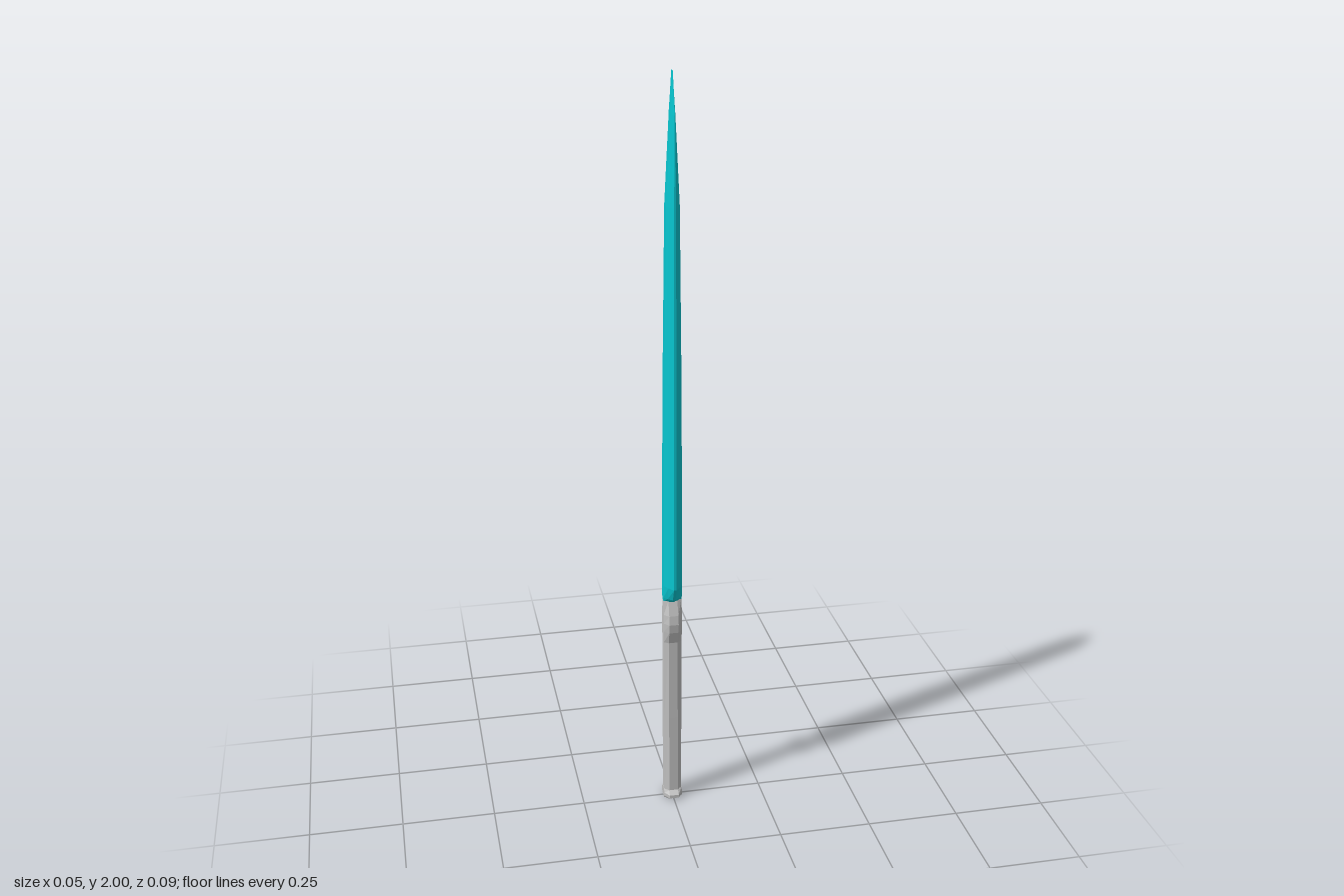
import * as THREE from 'three';

// Skins a closed cross-section through levels of [y, halfX, halfZ], with end caps.
function loft(section, levels) {
  const n = section.length;
  const pos = [], idx = [];
  for (const [y, a, b] of levels) {
    for (const [u, w] of section) pos.push(u * a, y, w * b);
  }
  for (let i = 0; i < levels.length - 1; i++) {
    for (let j = 0; j < n; j++) {
      const p = i * n + j, q = i * n + (j + 1) % n;
      idx.push(p, p + n, q, q, p + n, q + n);
    }
  }
  const last = (levels.length - 1) * n;
  for (let j = 1; j < n - 1; j++) {
    idx.push(0, j, j + 1);
    idx.push(last, last + j + 1, last + j);
  }
  const geo = new THREE.BufferGeometry();
  geo.setAttribute('position', new THREE.Float32BufferAttribute(pos, 3));
  geo.setIndex(idx);
  const flat = geo.toNonIndexed();
  flat.computeVertexNormals();
  return flat;
}

// Mirrors a quarter outline, listed from +x towards +z, into a full loop.
function mirrorSection(quarter) {
  const half = [...quarter, ...[...quarter].reverse().map(([u, w]) => [-u, w])];
  return [...half, ...half.map(([u, w]) => [-u, -w])];
}

export function createModel() {
  const teal = new THREE.MeshStandardMaterial({ color: 0x08c6d0, flatShading: true });
  teal.name = 'teal blade';
  const grey = new THREE.MeshStandardMaterial({ color: 0xc2c2c2, flatShading: true });
  grey.name = 'grey metal';

  const group = new THREE.Group();
  group.name = 'sword';
  const add = (name, geometry, material) => {
    const mesh = new THREE.Mesh(geometry, material);
    mesh.name = name;
    group.add(mesh);
  };

  const bladeSection = mirrorSection([[1, 0.3], [0.62, 0.65], [0.14, 1]]);
  const gripSection = mirrorSection([[1, 0.5], [0.5, 1]]);

  // Flared pommel
  add('pommel', loft(gripSection, [
    [0, 0.025, 0.025], [0.007, 0.025, 0.035], [0.016, 0.025, 0.035], [0.026, 0.025, 0.023],
  ]), grey);

  // Slightly tapering faceted handle
  add('grip', loft(gripSection, [
    [0.02, 0.024, 0.023], [0.26, 0.024, 0.021], [0.49, 0.024, 0.017],
  ]), grey);

  // Swollen collar that narrows into the blade
  add('collar', loft(gripSection, [
    [0.49, 0.024, 0.017], [0.525, 0.025, 0.027], [0.55, 0.025, 0.03],
    [0.575, 0.025, 0.026], [0.615, 0.024, 0.012],
  ]), grey);

  // Long blade with rounded heel and chisel tip
  add('blade', loft(bladeSection, [
    [0.61, 0.024, 0.011], [0.625, 0.025, 0.03], [0.662, 0.025, 0.046],
    [0.95, 0.0235, 0.044], [1.23, 0.022, 0.041], [1.68, 0.017, 0.038],
    [1.78, 0.012, 0.037], [1.9, 0.006, 0.034], [1.98, 0.0015, 0.014], [2, 0.0006, 0.009],
  ]), teal);

  return group;
}
